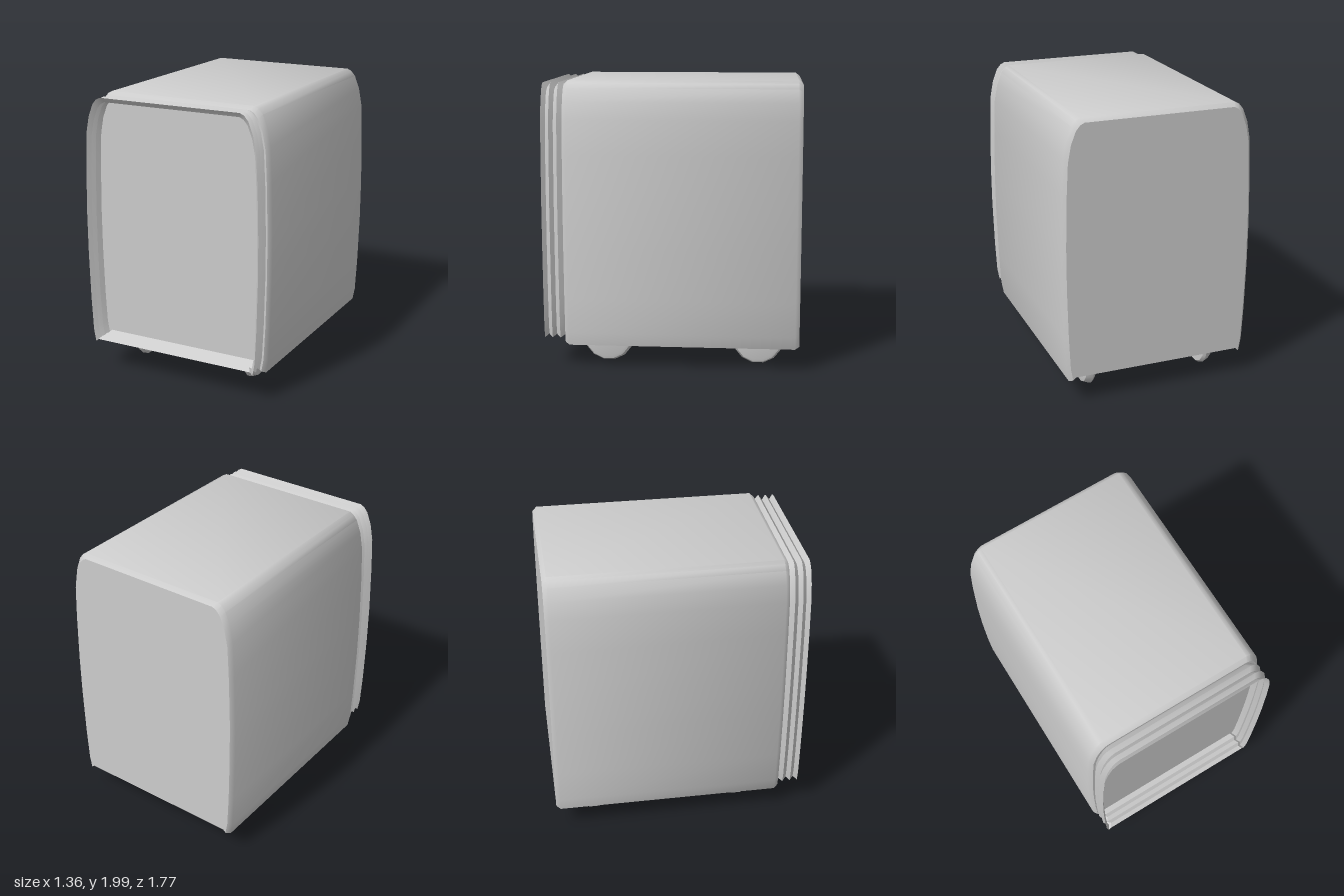
import * as THREE from 'three';
import { toCreasedNormals } from 'three/addons/utils/BufferGeometryUtils.js';

// Half outline of the carriage, from skirt to roof
const HALF = [
  [0.62, 0.19], [0.64, 0.17], [0.656, 0.26], [0.668, 0.5], [0.677, 0.85], [0.678, 1.15],
  [0.67, 1.5], [0.658, 1.74], [0.635, 1.86], [0.6, 1.95], [0.57, 1.985], [0.54, 2.0],
];
const OUTLINE = [...HALF, ...HALF.map(([x, y]) => [-x, y]).reverse()];

// Outline fitted to a given half width and height range
function section(halfWidth, bottom, top) {
  return OUTLINE.map(([x, y]) => [
    x * halfWidth / 0.678,
    bottom + (y - 0.17) / 1.83 * (top - bottom),
  ]);
}

// Skin between closed rings, each { z, pts }
function loft(rings) {
  const pos = [], index = [], n = OUTLINE.length;
  for (const { z, pts } of rings) for (const [x, y] of pts) pos.push(x, y, z);
  for (let k = 0; k < rings.length - 1; k++) {
    for (let i = 0; i < n; i++) {
      const j = (i + 1) % n, a = k * n + i, b = k * n + j;
      index.push(a, b, a + n, b, b + n, a + n);
    }
  }
  const geo = new THREE.BufferGeometry();
  geo.setAttribute('position', new THREE.Float32BufferAttribute(pos, 3));
  geo.setIndex(index);
  return toCreasedNormals(geo, 0.85);
}

export function createModel() {
  const model = new THREE.Group();
  model.name = 'railCarriage';
  const grey = new THREE.MeshStandardMaterial({ color: 0xcccccc, side: THREE.DoubleSide });
  grey.name = 'lightGrey';

  const add = (name, geo, x = 0, y = 0, z = 0) => {
    const mesh = new THREE.Mesh(geo, grey);
    mesh.name = name;
    mesh.position.set(x, y, z);
    model.add(mesh);
    return mesh;
  };

  // Body shell with chamfered ends
  const full = section(0.678, 0.17, 2.0);
  const inset = section(0.655, 0.185, 1.975);
  add('bodyShell', loft([
    { z: -0.885, pts: inset }, { z: -0.855, pts: full },
    { z: 0.71, pts: full }, { z: 0.74, pts: inset },
  ]));

  // End walls
  const wall = new THREE.ShapeGeometry(new THREE.Shape(inset.map(([x, y]) => new THREE.Vector2(x, y))));
  add('frontWall', wall, 0, 0, 0.74);
  add('backWall', wall, 0, 0, -0.885).rotation.y = Math.PI;

  // Open pleated gangway
  const peak = section(0.66, 0.215, 1.985);
  const valley = section(0.638, 0.237, 1.952);
  add('gangwayBellows', loft([0.74, 0.775, 0.803, 0.83, 0.857, 0.885].map(
    (z, i) => ({ z, pts: i % 2 ? peak : valley }))));

  // Underframe plate
  add('underframe', new THREE.BoxGeometry(1.08, 0.025, 1.46), 0, 0.1825, -0.07);

  // Half-hidden flanged wheels and their axles
  const profile = [[0, 0.41], [0.165, 0.41], [0.18, 0.43], [0.16, 0.475], [0.14, 0.48], [0, 0.48]]
    .map(([r, x]) => new THREE.Vector2(r, x));
  const wheel = toCreasedNormals(
    new THREE.LatheGeometry(profile, 7, 0, Math.PI).rotateZ(-Math.PI / 2), 0.7);
  const axle = new THREE.CylinderGeometry(0.015, 0.015, 0.84, 8).rotateZ(Math.PI / 2);
  for (const [end, z] of [['front', 0.46], ['back', -0.6]]) {
    add(end + 'LeftWheel', wheel, 0, 0.185, z);
    add(end + 'RightWheel', wheel, 0, 0.185, z).rotation.y = Math.PI;
    add(end + 'Axle', axle, 0, 0.172, z);
  }
  return model;
}
